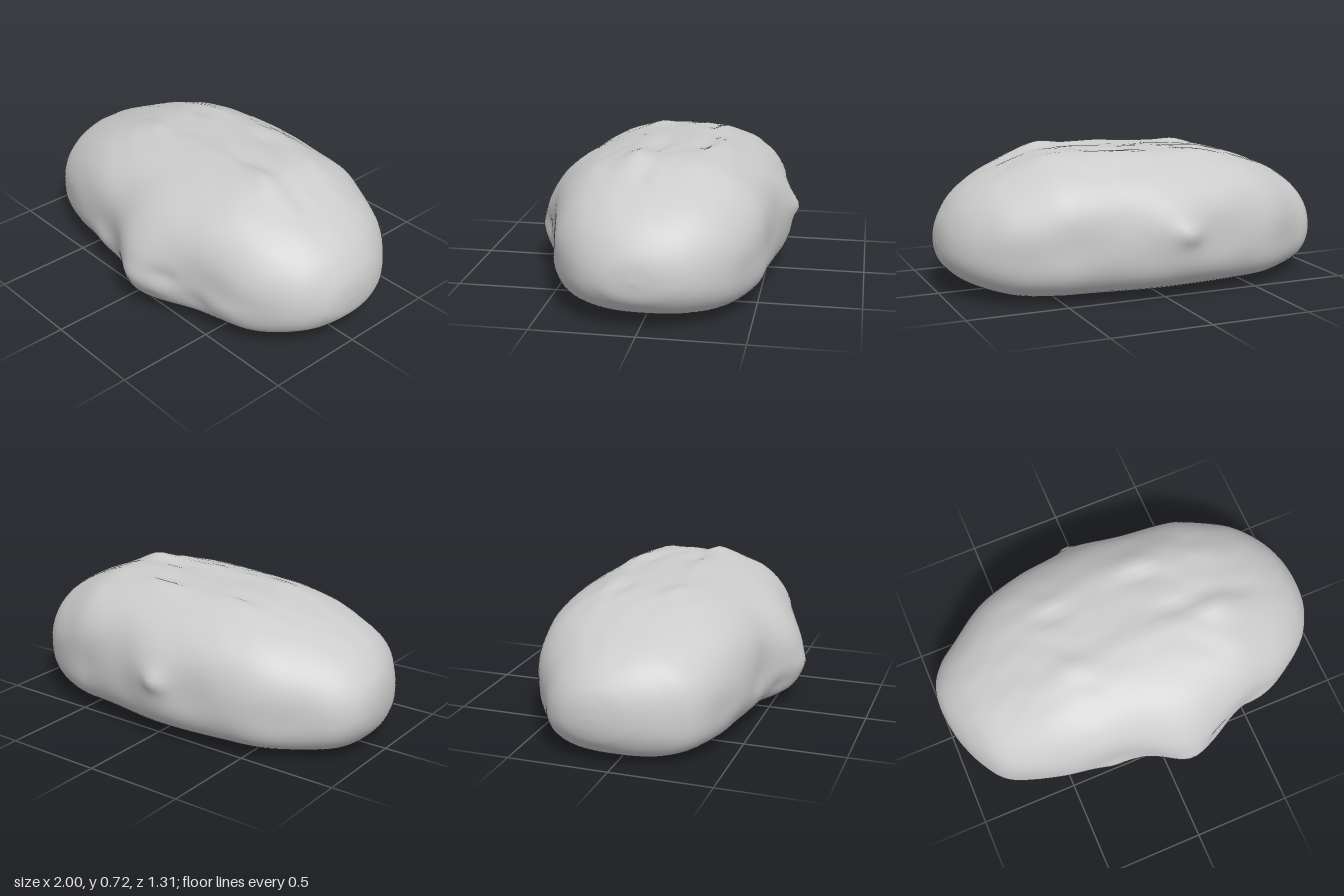
import * as THREE from 'three';
import { mergeVertices } from 'three/addons/utils/BufferGeometryUtils.js';

// Loaf cross-sections along its length: x, zBack, zFront, yBottom, yTop
const sections = [
  [-1, -0.09, -0.09, 0.25, 0.25],
  [-0.992, -0.17, 0, 0.18, 0.32],
  [-0.965, -0.25, 0.12, 0.115, 0.39],
  [-0.9, -0.33, 0.265, 0.05, 0.465],
  [-0.8, -0.395, 0.385, 0.015, 0.535],
  [-0.6, -0.52, 0.465, 0.01, 0.615],
  [-0.4, -0.57, 0.505, 0.007, 0.67],
  [-0.2, -0.59, 0.525, 0.005, 0.69],
  [0, -0.595, 0.535, 0.004, 0.695],
  [0.2, -0.575, 0.535, 0.003, 0.7],
  [0.4, -0.55, 0.515, 0.004, 0.7],
  [0.53, -0.53, 0.49, 0.006, 0.68],
  [0.68, -0.475, 0.45, 0.012, 0.625],
  [0.8, -0.41, 0.385, 0.04, 0.565],
  [0.9, -0.31, 0.3, 0.08, 0.49],
  [0.96, -0.21, 0.21, 0.13, 0.41],
  [0.99, -0.11, 0.13, 0.18, 0.34],
  [1, 0.01, 0.01, 0.26, 0.26],
];

// Crust details on top, raised or sunken: x, z, length, width, height
const crust = [
  [0.47, 0.09, 0.13, 0.06, 0.025],
  [0.1, 0.1, 0.22, 0.06, 0.012],
  [-0.33, 0.1, 0.1, 0.07, 0.015],
  [-0.25, -0.25, 0.14, 0.07, 0.015],
  [0.17, -0.28, 0.2, 0.08, 0.03],
  [0.5, -0.2, 0.16, 0.08, 0.012],
  [0.17, -0.2, 0.1, 0.035, -0.02],
  [0.3, 0.03, 0.14, 0.035, -0.018],
  [0.6, 0.03, 0.1, 0.035, -0.015],
  [-0.25, 0.03, 0.2, 0.05, -0.01],
  [-0.3, -0.18, 0.1, 0.035, -0.015],
];

// Lumps and dents on the sides: x, y, side, length, height, push in z
const lumps = [
  [0.05, 0.21, 1, 0.15, 0.32, 0.074],
  [0.21, 0.21, 1, 0.17, 0.32, 0.07],
  [-0.05, 0.3, -1, 0.16, 0.2, 0.03],
  [-0.07, 0.33, -1, 0.06, 0.05, 0.03],
  [0.1, 0.23, 1, 0.07, 0.05, 0.012],
  [0.28, 0.27, 1, 0.07, 0.05, -0.02],
  [0.2, 0.13, 1, 0.07, 0.04, -0.012],
  [-0.05, 0.15, 1, 0.07, 0.05, -0.02],
  [-0.28, 0.18, 1, 0.07, 0.06, 0.012],
  [-0.5, 0.12, 1, 0.12, 0.05, -0.01],
  [0.44, 0.17, 1, 0.07, 0.06, -0.015],
  [0.6, 0.2, 1, 0.1, 0.06, 0.01],
];

const bell = (d, w) => Math.exp(-(d * d) / (w * w));

// Smooth curve through one column of the section table
function column(k) {
  const curve = new THREE.SplineCurve(sections.map((s, i) => new THREE.Vector2(i, s[k])));
  return (t) => curve.getPoint(t).y;
}

function loafGeometry(rows = 108, cols = 96) {
  const [fx, fBack, fFront, fBottom, fTop] = [0, 1, 2, 3, 4].map(column);
  const positions = [];
  const index = [];
  for (let i = 0; i <= rows; i++) {
    const t = i / rows;
    const x = THREE.MathUtils.clamp(fx(t), -1, 1);
    const back = fBack(t), front = fFront(t), bottom = fBottom(t), top = fTop(t);
    const midZ = (back + front) / 2, halfZ = (front - back) / 2;
    const midY = bottom + (top - bottom) * 0.42;
    const fade = Math.min(1, (halfZ / 0.52) ** 2);
    for (let j = 0; j < cols; j++) {
      // Domed upper half, squarer flat-bottomed lower half, rounder at the ends
      const a = (j / cols) * Math.PI * 2;
      const c = Math.cos(a), s = Math.sin(a);
      const n = s > 0 ? 2 + 0.45 * fade : 2 + 1.6 * fade;
      const r = Math.pow(Math.abs(c) ** n + Math.abs(s) ** n, -1 / n);
      let z = midZ + halfZ * r * c;
      let y = midY + (s > 0 ? top - midY : midY - bottom) * r * s;
      if (s > 0) {
        for (const [px, pz, lx, lz, h] of crust) {
          y += h * s * fade * bell(x - px, lx) * bell(z - pz, lz);
        }
        // Fine wrinkles running along the top
        y += 0.003 * s * s * fade * Math.sin(z * 42 + Math.sin(x * 9) * 2) * Math.cos(x * 15 + z * 6);
      }
      const reach = Math.min(1, Math.abs(c) * 1.7);
      let push = 0;
      for (const [px, py, side, lx, ly, h] of lumps) {
        if (side * c > 0) push += side * h * reach * bell(x - px, lx) * bell(y - py, ly);
      }
      // Gentle unevenness of the sides
      z += push + 0.004 * fade * c * Math.sin(x * 13 + y * 5) * Math.cos(y * 17 - x * 4);
      positions.push(x, Math.max(0, y), z);
      if (i < rows) {
        const p = i * cols + j, q = i * cols + ((j + 1) % cols);
        index.push(p, p + cols, q, q, p + cols, q + cols);
      }
    }
  }
  let geometry = new THREE.BufferGeometry();
  geometry.setAttribute('position', new THREE.Float32BufferAttribute(positions, 3));
  geometry.setIndex(index);
  geometry = mergeVertices(geometry, 1e-5);
  geometry.computeVertexNormals();
  return geometry;
}

export function createModel() {
  const group = new THREE.Group();
  group.name = 'breadLoaf';
  const material = new THREE.MeshStandardMaterial({ color: 0xcccccc });
  const loaf = new THREE.Mesh(loafGeometry(), material);
  loaf.name = 'loaf';
  group.add(loaf);
  return group;
}
